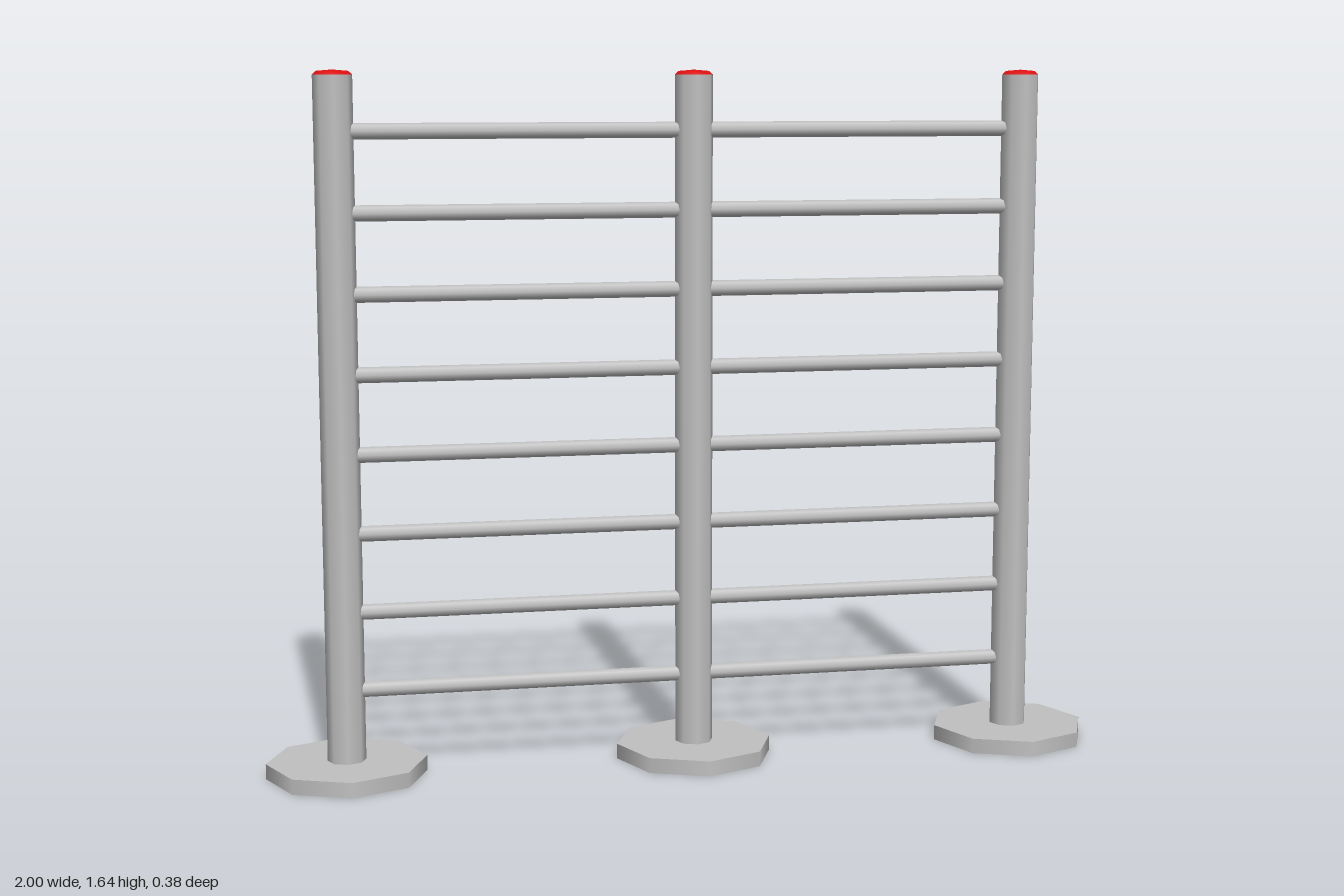
import * as THREE from 'three';

const POST_X = [-0.813, 0.017, 0.812];
const POST_R = 0.045, POST_TOP = 1.625, BASE_R = 0.188, BASE_H = 0.036;
const RUNG_R = 0.0185, RUNG_COUNT = 8, RUNG_FIRST = 0.203, RUNG_STEP = 0.185;

export function createModel() {
  const model = new THREE.Group();
  model.name = 'wallBars';

  const steel = new THREE.MeshStandardMaterial({ color: 0xc0c0c0 });
  steel.name = 'grey steel';
  const red = new THREE.MeshStandardMaterial({ color: 0xdc1010 });
  red.name = 'red cap';

  const add = (parent, name, geometry, material, x, y) => {
    const mesh = new THREE.Mesh(geometry, material);
    mesh.name = name;
    mesh.position.set(x, y, 0);
    parent.add(mesh);
    return mesh;
  };

  // Shallow domed cap, open underneath where it sits on the post
  const capGeometry = new THREE.LatheGeometry([
    new THREE.Vector2(POST_R, 0),
    new THREE.Vector2(POST_R * 0.8, 0.008),
    new THREE.Vector2(0, 0.011),
  ], 8);
  const baseGeometry = new THREE.CylinderGeometry(BASE_R, BASE_R, BASE_H, 8);
  const postHeight = POST_TOP - BASE_H;
  const postGeometry = new THREE.CylinderGeometry(POST_R, POST_R, postHeight, 8);

  // Three uprights, each with an octagonal foot and a cap
  for (const x of POST_X) {
    const upright = new THREE.Group();
    upright.name = 'upright';
    upright.position.x = x;
    add(upright, 'footPlate', baseGeometry, steel, 0, BASE_H / 2);
    add(upright, 'post', postGeometry, steel, 0, BASE_H + postHeight / 2);
    add(upright, 'postCap', capGeometry, red, 0, POST_TOP);
    model.add(upright);
  }

  // Rungs spanning each pair of neighbouring posts
  for (let bay = 0; bay < POST_X.length - 1; bay++) {
    const a = POST_X[bay], b = POST_X[bay + 1];
    const rungGeometry = new THREE.CylinderGeometry(RUNG_R, RUNG_R, b - a - 0.06, 8);
    rungGeometry.rotateZ(Math.PI / 2);
    for (let i = 0; i < RUNG_COUNT; i++) {
      add(model, 'rung', rungGeometry, steel, (a + b) / 2, RUNG_FIRST + i * RUNG_STEP);
    }
  }
  return model;
}
